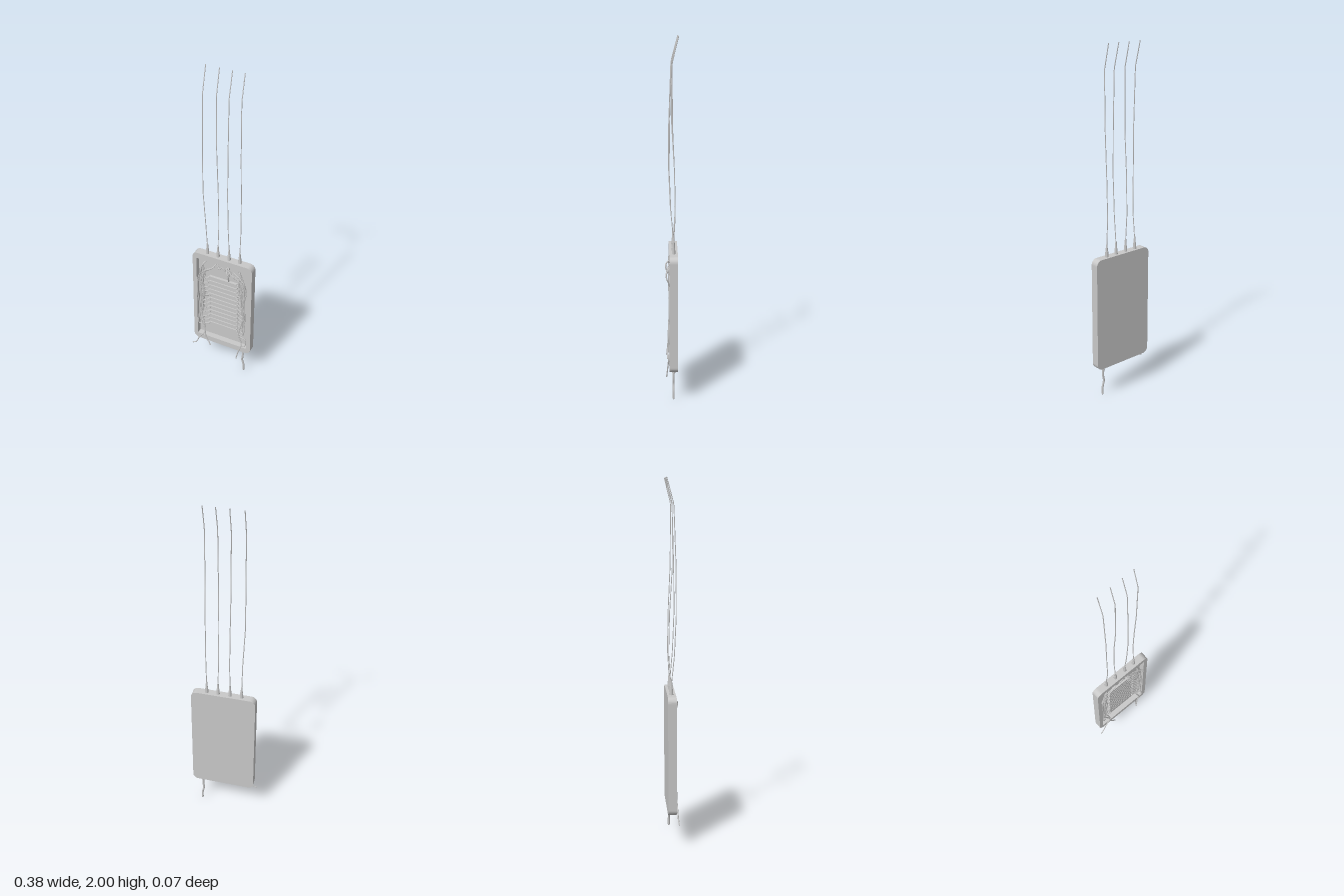
import * as THREE from 'three';

export function createModel() {
  const model = new THREE.Group();
  const grey = new THREE.MeshStandardMaterial({ color: 0xc8c8c8 });
  grey.name = 'light grey';

  const add = (name, geometry, x = 0, y = 0, z = 0) => {
    const mesh = new THREE.Mesh(geometry, grey);
    mesh.name = name;
    mesh.position.set(x, y, z);
    model.add(mesh);
    return mesh;
  };
  const box = (name, w, h, d, x, y, z) => add(name, new THREE.BoxGeometry(w, h, d), x, y, z);
  const wire = (name, points, radius = 0.0035) => {
    const curve = new THREE.CatmullRomCurve3(points.map(p => new THREE.Vector3(...p)));
    add(name, new THREE.TubeGeometry(curve, points.length * 5, radius, 6));
    // Close both cut ends
    for (const t of [0, 1]) add(name + 'End', new THREE.SphereGeometry(radius, 6, 4)).position.copy(curve.getPoint(t));
  };
  const roundedRect = (shape, x0, y0, x1, y1, r) => {
    shape.moveTo(x0 + r, y0);
    shape.lineTo(x1 - r, y0);
    shape.absarc(x1 - r, y0 + r, r, -Math.PI / 2, 0);
    shape.absarc(x1 - r, y1 - r, r, 0, Math.PI / 2);
    shape.absarc(x0 + r, y1 - r, r, Math.PI / 2, Math.PI);
    shape.absarc(x0 + r, y0 + r, r, Math.PI, Math.PI * 1.5);
    return shape;
  };
  const slab = (shape, depth) => new THREE.ExtrudeGeometry(shape, { depth, bevelEnabled: false, curveSegments: 4 });

  // Open tray: solid back and raised rim
  const outline = () => roundedRect(new THREE.Shape(), -0.182, 0.178, 0.191, 0.843, 0.033);
  add('caseBack', slab(outline(), 0.014), 0, 0, -0.035);
  const rim = outline();
  rim.holes.push(roundedRect(new THREE.Path(), -0.158, 0.215, 0.165, 0.805, 0.004));
  add('caseRim', slab(rim, 0.033), 0, 0, -0.021);

  // Circuit plate and the small module above the terminals
  box('circuitPlate', 0.3, 0.565, 0.004, 0.003, 0.51, -0.019);
  box('upperModule', 0.075, 0.1, 0.008, 0.003, 0.745, -0.015);

  // Terminal block with ribbed rows and contacts
  const rows = 12, pitch = 0.0325;
  box('terminalBase', 0.18, 0.385, 0.01, 0.005, 0.491, -0.013);
  for (let i = 0; i < rows; i++) {
    const y = 0.313 + i * pitch;
    box('terminalRow', 0.175, 0.026, 0.007, 0.003, y, -0.0055);
    for (const x of [-0.087, 0.094]) {
      const contact = add('contact', new THREE.CylinderGeometry(0.009, 0.009, 0.01, 10), x, y, -0.004);
      contact.rotation.x = Math.PI / 2;
    }
  }

  // Antennas: tapered sockets and long bent whips
  const bends = [[0.004, 0.013, 0.012, 0], [-0.023, -0.018, -0.003, -0.003],
    [0.002, 0.011, 0.009, 0], [-0.021, -0.017, -0.006, -0.003]];
  [-0.098, -0.031, 0.038, 0.104].forEach((x, i) => {
    add('antennaCollar', new THREE.CylinderGeometry(0.008, 0.01, 0.035, 12), x, 0.86, -0.012);
    add('antennaSocket', new THREE.CylinderGeometry(0.004, 0.007, 0.04, 12), x, 0.895, -0.012);
    const [a, b, c, d] = bends[i];
    const tip = [-0.107, -0.032, 0.038, 0.105][i];
    const path = new THREE.CurvePath();
    const pts = [[x, 0.9, -0.012], [x, 1.06, a], [tip, 1.28, b], [tip, 1.53, c], [tip, 1.86, d], [tip, 1.998, -0.037]]
      .map(p => new THREE.Vector3(...p));
    for (let k = 1; k < pts.length; k++) path.add(new THREE.LineCurve3(pts[k - 1], pts[k]));
    add('antennaWhip', new THREE.TubeGeometry(path, 50, 0.0026, 6));
  });

  // Wire looms running from the antenna entries down each side to the terminals
  let seed = 7;
  const rand = () => (seed = (seed * 16807) % 2147483647) / 2147483647;
  for (const side of [-1, 1]) {
    const edge = side < 0 ? -0.131 : 0.138;
    const end = side < 0 ? -0.088 : 0.096;
    for (let i = 0; i < rows; i++) {
      const y = 0.313 + i * pitch;
      const x = edge + (rand() - 0.5) * 0.034;
      const z = 0.001 + rand() * 0.011;
      const start = side * (i % 2 ? 0.035 : 0.1);
      const points = [[start, 0.795, -0.006], [start + side * 0.02, 0.765, z], [x - side * 0.014, 0.71, z]];
      for (let h = 0.64; h > y + 0.03; h -= 0.09) points.push([x + (rand() - 0.5) * 0.022, h, z]);
      points.push([x, y - 0.012, z], [end, y, 0]);
      wire('loomWire', points);
    }
  }

  // Slack loops near the top and lower right
  wire('slackLoop', [[-0.03, 0.79, -0.004], [-0.015, 0.77, 0.006], [0.005, 0.785, 0.008], [0.025, 0.77, 0.006], [0.035, 0.79, -0.004]], 0.004);
  wire('slackLoop', [[0.03, 0.79, 0.005], [0.04, 0.775, 0.024], [0.05, 0.765, 0.031], [0.052, 0.73, 0.025], [0.045, 0.7, 0.006]], 0.004);
  wire('slackLoop', [[0.08, 0.78, 0.012], [0.12, 0.76, 0.022], [0.153, 0.73, 0.029], [0.152, 0.69, 0.016], [0.13, 0.65, 0.005]]);
  wire('slackLoop', [[0.12, 0.29, 0.004], [0.155, 0.285, 0.01], [0.158, 0.24, 0.012], [0.135, 0.225, 0.01]]);

  // Loose tails hanging over the lower rim
  wire('looseWire', [[-0.14, 0.42, 0.008], [-0.115, 0.33, 0.013], [-0.105, 0.25, 0.017], [-0.145, 0.19, 0.02], [-0.165, 0.145, 0.023], [-0.188, 0.132, 0.026]]);
  wire('looseWire', [[-0.13, 0.43, 0.008], [-0.14, 0.36, 0.012], [-0.11, 0.28, 0.016], [-0.1, 0.21, 0.018], [-0.068, 0.155, 0.021]]);
  wire('looseWire', [[0.13, 0.4, 0.008], [0.115, 0.32, 0.012], [0.135, 0.24, 0.016], [0.118, 0.18, 0.021], [0.106, 0.123, 0.027]]);

  // Supply cable leaving the bottom edge
  add('cableGland', new THREE.CylinderGeometry(0.009, 0.009, 0.025, 10), 0.135, 0.17, -0.012);
  wire('supplyCable', [[0.133, 0.18, -0.012], [0.135, 0.12, -0.011], [0.131, 0.09, -0.012], [0.14, 0.05, -0.012], [0.141, 0.006, -0.012]], 0.006);

  return model;
}
